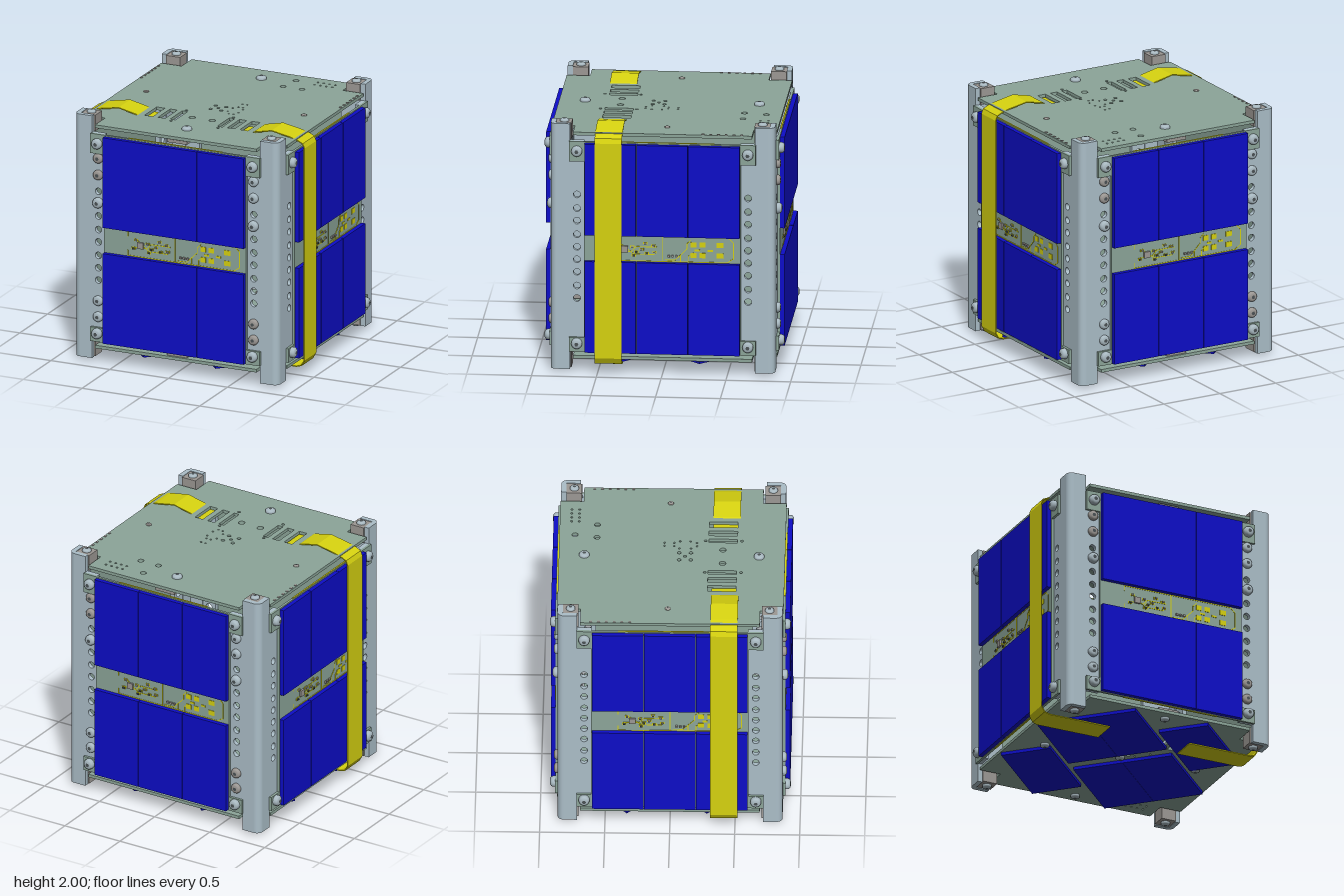
import * as THREE from 'three';

const mat = (name, color, side = THREE.FrontSide) => {
  const m = new THREE.MeshStandardMaterial({ color, side });
  m.name = name;
  return m;
};

export function createModel() {
  const M = {
    rail: mat('anodised rail', 0xabbec8),
    board: mat('circuit board', 0x8ca599),
    cell: mat('solar cell blue', 0x0d0dc8),
    gold: mat('strap yellow', 0xd6d210),
    steel: mat('steel', 0x9c9894),
    screw: mat('screw head', 0xa9b9c1),
    dark: mat('dark recess', 0x4a5154),
  };
  const root = new THREE.Group();
  root.name = 'cubeSatellite';

  const add = (parent, name, geo, material, x = 0, y = 0, z = 0) => {
    const m = new THREE.Mesh(geo, material);
    m.name = name;
    m.position.set(x, y, z);
    parent.add(m);
    return m;
  };
  const box = (parent, name, material, x, y, z, w, h, d) =>
    add(parent, name, new THREE.BoxGeometry(w, h, d), material, x, y, z);
  const poly = pts => new THREE.Shape(pts.map(p => new THREE.Vector2(...p)));
  const round = (shape, x, y, r) => {
    const h = new THREE.Path();
    h.absarc(x, y, r, 0, Math.PI * 2, true);
    shape.holes.push(h);
  };
  const slab = (shape, depth) =>
    new THREE.ExtrudeGeometry(shape, { depth, bevelEnabled: false, curveSegments: 8 });

  // Domed screw with a socket, pointing along +z
  const screw = (parent, x, y, z, r = 0.042, h = 0.04, material = M.screw) => {
    const g = new THREE.Group();
    g.name = 'screw';
    const prof = [[r, 0], [r, h * 0.45], [r * 0.9, h * 0.75], [r * 0.6, h], [0, h]];
    const head = add(g, 'screwHead', new THREE.LatheGeometry(prof.map(p => new THREE.Vector2(...p)), 20), material);
    head.rotation.x = Math.PI / 2;
    add(g, 'screwSocket', new THREE.CircleGeometry(r * 0.38, 6), M.dark, 0, 0, h + 0.001);
    g.position.set(x, y, z);
    parent.add(g);
    return g;
  };

  const OUT = 0.865; // outer rail face

  // Solar panel with board, cells and the circuit band, facing +z
  const panel = () => {
    const g = new THREE.Group();
    g.name = 'sidePanel';
    const s = poly([[-0.72, 0.165], [0.72, 0.165], [0.72, 0.28], [0.605, 0.28], [0.605, 1.69], [0.72, 1.69],
      [0.72, 1.85], [-0.72, 1.85], [-0.72, 1.69], [-0.605, 1.69], [-0.605, 0.28], [-0.72, 0.28]]);
    add(g, 'panelBoard', slab(s, 0.02), M.board, 0, 0, OUT);
    for (const x of [-0.4, 0, 0.4])
      for (const y of [0.535, 1.475]) box(g, 'solarCell', M.cell, x, y, 0.9025, 0.396, 0.73, 0.035);
    for (const x of [-0.66, 0.66]) for (const y of [0.235, 1.775]) screw(g, x, y, 0.885);

    const Z = 0.886;
    const trace = (x1, y1, x2, y2, w = 0.006) => {
      const m = box(g, 'goldTrace', M.gold, (x1 + x2) / 2, (y1 + y2) / 2, Z, Math.hypot(x2 - x1, y2 - y1), w, 0.004);
      m.rotation.z = Math.atan2(y2 - y1, x2 - x1);
    };
    const run = pts => pts.slice(1).forEach((p, i) => trace(...pts[i], ...p));
    run([[-0.4, 0.906], [0.5, 0.906], [0.55, 0.94], [0.55, 1.065], [0.51, 1.104], [-0.4, 1.104]]);
    run([[0, 0.906], [0, 1.104]]);
    run([[0.02, 0.92], [0.1, 0.92], [0.19, 1.01], [0.19, 1.05], [0.22, 1.08]]);
    run([[0.14, 0.91], [0.14, 0.96]]);
    run([[0.2, 0.906], [0.2, 0.95], [0.24, 0.98]]);
    run([[-0.4, 0.906], [-0.4, 0.95]]);
    run([[-0.4, 1.06], [-0.4, 1.104]]);
    run([[-0.36, 0.98], [-0.24, 0.98], [-0.2, 1.02], [-0.04, 1.02]]);
    run([[-0.32, 1.04], [-0.22, 0.96], [-0.06, 0.96]]);
    // Solder pads
    for (const [x, w] of [[0.24, 0.045], [0.31, 0.045], [0.445, 0.055]])
      for (const y of [0.96, 1.045]) box(g, 'solderPad', M.gold, x, y, Z, w, 0.04, 0.006);
    for (const x of [0.27, 0.37]) box(g, 'solderPad', M.gold, x, 1.0, Z, 0.04, 0.015, 0.006);
    // Components
    box(g, 'chip', M.steel, -0.29, 1.0, 0.892, 0.05, 0.05, 0.016);
    const parts = [[-0.35, 0.97], [-0.33, 1.04], [-0.23, 1.02], [-0.2, 0.98], [-0.16, 1.0], [-0.13, 1.05], [-0.12, 0.97],
      [-0.07, 1.03], [-0.06, 0.98], [-0.22, 0.95]];
    parts.forEach(([x, y], i) => {
      box(g, 'component', i % 3 ? M.steel : M.dark, x, y, 0.892, 0.018, 0.012, 0.014);
      box(g, 'componentPad', M.gold, x, y, Z, 0.034, 0.018, 0.005);
    });
    for (const x of [0.05, 0.08, 0.11]) box(g, 'component', M.steel, x, 0.95, 0.892, 0.016, 0.016, 0.014);
    // Gold board edges and centre connectors
    for (const y of [0.163, 1.852]) box(g, 'goldEdge', M.gold, 0, y, 0.873, 0.8, 0.004, 0.012);
    return g;
  };

  // Corner rail section with a rounded outer edge, drawn as x and -z
  const cornerShape = () => {
    const a = 0.715, b = 0.825, r = 0.05;
    const s = new THREE.Shape();
    s.moveTo(a, b).lineTo(b, b).lineTo(b, a).lineTo(OUT, a).lineTo(OUT, OUT - r);
    s.absarc(OUT - r, OUT - r, r, 0, Math.PI / 2, false);
    s.lineTo(a, OUT);
    s.closePath();
    return s;
  };

  for (let i = 0; i < 4; i++) {
    const side = new THREE.Group();
    side.name = ['frontSide', 'leftSide', 'backSide', 'rightSide'][i];
    side.rotation.y = i * Math.PI / 2;
    root.add(side);
    side.add(panel());

    // Drilled rail flanges on both edges of this side
    const holes = i % 2 ? [1.42, 1.31, 1.21, 1.1, 1.0, 0.9, 0.8, 0.69, 0.59] : [1.38, 1.18, 1.07, 0.97, 0.86, 0.76, 0.66];
    for (const sx of [-1, 1]) {
      const s = poly([[-0.06, 0.17], [0.056, 0.17], [0.056, 1.85], [-0.06, 1.85]]);
      holes.forEach(y => round(s, 0, y, 0.027));
      add(side, 'railFlange', slab(s, 0.035), M.rail, sx * 0.66, 0, OUT - 0.035);
      if (i % 2 === 0) {
        screw(side, sx * 0.66, 1.29, OUT);
        for (const y of [1.65, 1.515, 0.495, 0.365])
          screw(side, sx * 0.66, y, OUT, 0.04, 0.03, (y > 1) === (sx < 0) ? M.steel : M.screw);
      }
    }

    // Corner post with end blocks and end screws
    const post = add(side, 'cornerPost', slab(cornerShape(), 1.965), M.rail, 0, 0.02, 0);
    post.rotation.x = -Math.PI / 2;
    for (const [y, dir] of [[1.915, -1], [0.09, 1]]) {
      box(side, 'endBlock', M.steel, 0.765, y, -0.765, 0.12, 0.13, 0.12);
      screw(side, 0.765, dir < 0 ? 1.98 : 0.025, -0.765, 0.035, dir < 0 ? 0.02 : 0.025).rotation.x = dir * Math.PI / 2;
    }
  }

  // Cross-shaped end boards with holes and slots; shape y is -z
  const plate = () => {
    const a = 0.86, b = 0.69, c = 0.685, d = 0.87;
    const s = poly([[-c, -d], [c, -d], [c, -b], [a, -b], [a, b], [c, b], [c, d], [-c, d], [-c, b], [-a, b], [-a, -b], [-c, -b]]);
    for (const m of [-1, 1]) {
      for (const [x, w] of [[0.2, 0.045], [0.295, 0.06], [0.405, 0.07]]) {
        const l = m * x - w / 2, r = m * x + w / 2;
        s.holes.push(new THREE.Path([[l, -0.5], [l, -0.28], [r, -0.28], [r, -0.5]].map(p => new THREE.Vector2(...p))));
      }
      round(s, m * 0.085, -0.39, 0.026);
      round(s, m * 0.2, -0.255, 0.012);
      round(s, m * 0.2, -0.535, 0.012);
      round(s, m * 0.045, -0.055, 0.015);
      round(s, m * 0.045, -0.145, 0.015);
    }
    round(s, 0, -0.1, 0.012);
    for (const [x, y] of [[0.26, 0.75], [0.23, 0.58], [0.39, 0.58]]) round(s, x, y, 0.024);
    for (const [x, y] of [[0.13, 0.06], [0.17, 0.06], [0.1, -0.055], [0.1, -0.145], [0.13, -0.19], [0.17, -0.19],
      [0.13, -0.015], [0.17, -0.015], [0.19, -0.06], [0.19, -0.14]]) round(s, x, y, 0.008);
    for (let k = 0; k < 8; k++) round(s, 0.43 + (k % 4) * 0.05, k < 4 ? 0.72 : 0.78, 0.009);
    return slab(s, 0.025);
  };
  for (const [name, y] of [['topBoard', 1.893], ['bottomBoard', 0.105]])
    add(root, name, plate(), M.board, 0, y, 0).rotation.x = -Math.PI / 2;

  // Board fasteners
  for (const z of [-0.675, 0.67]) screw(root, 0, 1.918, z, 0.04, 0.025).rotation.x = -Math.PI / 2;
  for (const x of [-0.67, 0.67]) screw(root, x, 1.918, -0.02, 0.022, 0.01, M.steel).rotation.x = -Math.PI / 2;
  for (const [x, z] of [[0, 0], [0.62, 0.05], [-0.62, -0.05], [0, -0.78], [0, 0.78]])
    screw(root, x, 0.105, z, 0.035, 0.025).rotation.x = Math.PI / 2;

  // Edge connectors and small parts beneath the top board
  for (const z of [-0.8, 0.8]) {
    box(root, 'edgeConnector', M.steel, 0, 1.872, z, 0.17, 0.025, 0.1);
    box(root, 'edgeConnector', M.steel, 0, 0.142, z, 0.17, 0.025, 0.1);
  }
  for (let k = 0; k < 6; k++) {
    box(root, 'component', M.screw, 0.42 + k * 0.05, 1.882, -0.75, 0.025, 0.022, 0.08);
    for (const m of [-1, 1]) box(root, 'component', M.steel, m * 0.845, 1.92, -0.31 - k * 0.06, 0.016, 0.006, 0.02);
  }

  // Pinwheel of cells under the base
  const base = new THREE.Group();
  base.name = 'baseCells';
  base.rotation.y = Math.PI / 4;
  root.add(base);
  for (const m of [-1, 1]) {
    for (const z of [-0.2, 0.2]) box(base, 'baseCell', M.cell, m * 0.43, 0.0925, z, 0.74, 0.025, 0.398);
    box(base, 'baseCell', M.cell, 0, 0.0925, m * 0.64, 0.74, 0.025, 0.398);
  }

  // Bent strap on the left and right sides
  const path = [[0.34, 0.073], [0.86, 0.073], [0.9, 0.085], [0.926, 0.13], [0.926, 1.85], [0.912, 1.885], [0.87, 1.905],
    [0.81, 1.923], [0.65, 1.953], [0.5, 1.92], [0.44, 1.885], [0.36, 1.88]];
  const outer = [], inner = [];
  path.forEach(([x, y], i) => {
    const p = path[Math.max(i - 1, 0)], q = path[Math.min(i + 1, path.length - 1)];
    const l = Math.hypot(q[0] - p[0], q[1] - p[1]);
    const nx = (q[1] - p[1]) / l * 0.004, ny = -(q[0] - p[0]) / l * 0.004;
    outer.push([x + nx, y + ny]);
    inner.unshift([x - nx, y - ny]);
  });
  const strapGeo = slab(poly([...outer, ...inner]), 0.21);
  add(root, 'leftStrap', strapGeo, M.gold, 0, 0, 0.31);
  add(root, 'rightStrap', strapGeo.clone().rotateY(Math.PI), M.gold, 0, 0, 0.52);

  return root;
}
